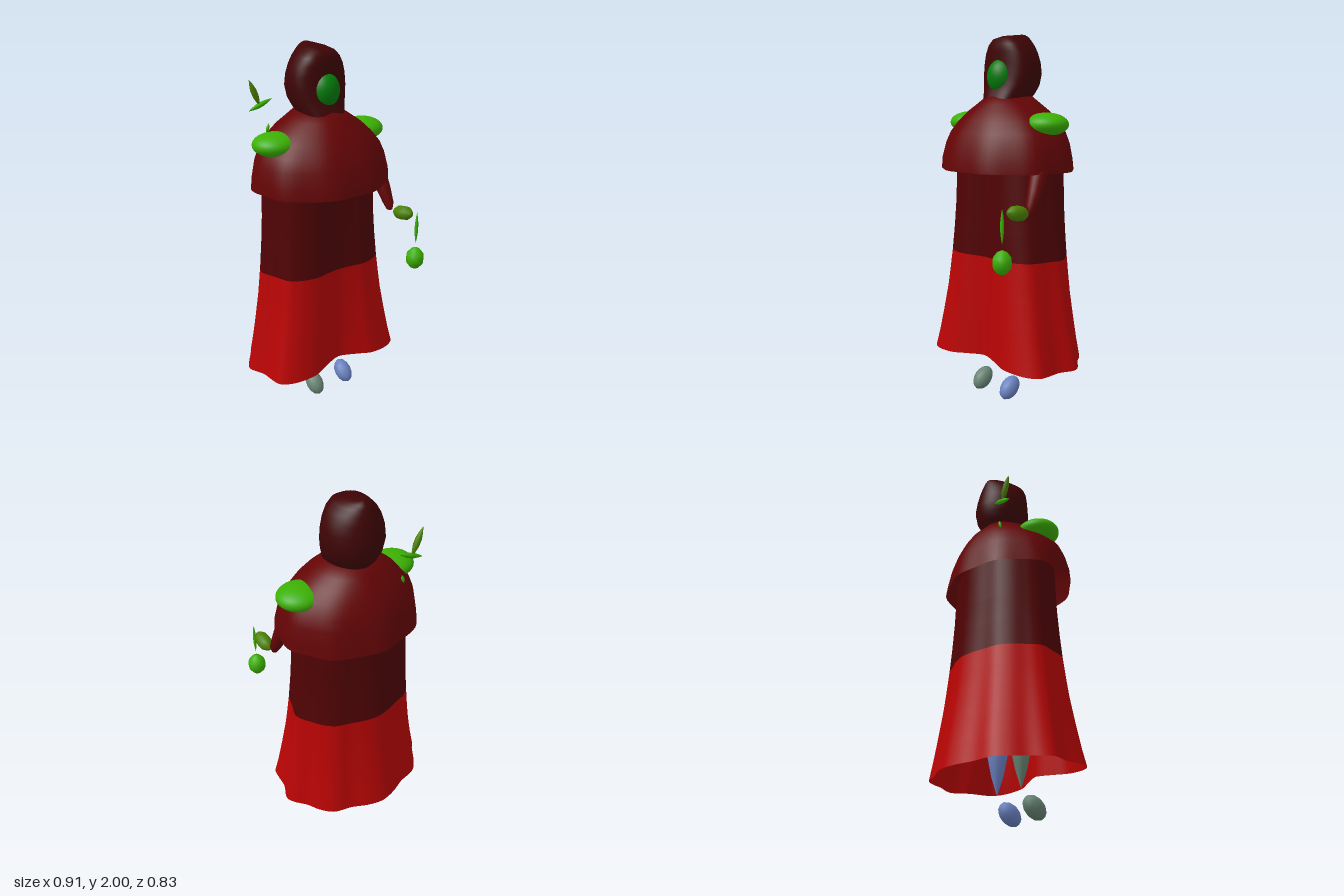
import * as THREE from 'three';

const mat = (name, color, side = THREE.FrontSide) => {
  const m = new THREE.MeshStandardMaterial({ color, side });
  m.name = name;
  return m;
};

// Smooth skin over a stack of closed rings, listed from bottom to top
function loft(rings, cap = false) {
  const n = rings[0].length, pos = rings.flat().flatMap(p => [p.x, p.y, p.z]), idx = [];
  for (let i = 0; i < rings.length - 1; i++) {
    for (let j = 0; j < n; j++) {
      const k = (j + 1) % n, a = i * n + j, b = i * n + k;
      idx.push(a, b, a + n, b, b + n, a + n);
    }
  }
  if (cap) {
    const top = rings[rings.length - 1], c = new THREE.Vector3();
    top.forEach(p => c.addScaledVector(p, 1 / n));
    pos.push(c.x, c.y, c.z);
    const base = (rings.length - 1) * n;
    for (let j = 0; j < n; j++) idx.push(base + j, base + (j + 1) % n, pos.length / 3 - 1);
  }
  const g = new THREE.BufferGeometry();
  g.setAttribute('position', new THREE.Float32BufferAttribute(pos, 3));
  g.setIndex(idx);
  g.computeVertexNormals();
  return g;
}

// Rounded cross-section: half width, front z, back z, share of depth in front, front squareness
function section(y, w, zf, zb, share = 0.5, square = 2, n = 64) {
  const zc = zf - share * (zf - zb);
  return Array.from({ length: n }, (_, j) => {
    const t = j / n * Math.PI * 2, s = Math.sin(t), c = Math.cos(t);
    const e = 2 / (c > 0 ? square : 2);
    const x = w * Math.sign(s) * Math.abs(s) ** e;
    const z = zc + (c > 0 ? zf - zc : zc - zb) * Math.sign(c) * Math.abs(c) ** e;
    return new THREE.Vector3(x, y, z);
  });
}

export function createModel() {
  const model = new THREE.Group();
  model.name = 'cloakedFigure';
  const brightRed = mat('bright red', 0xb90404, THREE.DoubleSide);
  const darkRed = mat('dark red', 0x500204, THREE.DoubleSide);
  const capeRed = mat('cape red', 0x640405, THREE.DoubleSide);
  const hoodRed = mat('hood maroon', 0x3e0405, THREE.DoubleSide);
  const green = mat('leaf green', 0x3cb004);
  const olive = mat('olive green', 0x4c8204);
  const faceGreen = mat('deep green', 0x047c0c);
  const blue = mat('slate blue', 0x6a82c0);
  const grey = mat('grey green', 0x688474);

  const add = (name, geo, material, x = 0, y = 0, z = 0) => {
    const m = new THREE.Mesh(geo, material);
    m.name = name;
    m.position.set(x, y, z);
    model.add(m);
    return m;
  };
  const ellipsoid = (rx, ry, rz) => new THREE.SphereGeometry(1, 32, 20).scale(rx, ry, rz);
  const lathe = (points, seg = 12) => new THREE.LatheGeometry(points.map(p => new THREE.Vector2(...p)), seg);
  // Pointed spindle standing on y, centred at its middle
  const spindle = (r, len, seg = 12) => lathe(
    [[0, -0.5], [0.55, -0.32], [0.95, -0.12], [0.95, 0.12], [0.55, 0.32], [0, 0.5]]
      .map(([a, b]) => [a * r, b * len]), seg);

  // Robe: wavy hem outline that shrinks and smooths towards the chest
  const half = [[0.12, 0.175], [0.2, 0.203], [0.33, 0.188], [0.4, 0.14], [0.413, 0.08], [0.42, 0],
    [0.455, -0.09], [0.435, -0.14], [0.385, -0.2], [0.345, -0.27], [0.285, -0.33], [0.18, -0.357], [0.09, -0.395]];
  const outline = [[0, 0.14], ...half, [0, -0.413], ...half.slice().reverse().map(([x, z]) => [-x, z])];
  const hem = new THREE.CatmullRomCurve3(outline.map(([x, z]) => new THREE.Vector3(x, 0, z)), true)
    .getPoints(112).slice(0, -1);
  const robeRing = (y, k) => hem.map(p => {
    const a = Math.atan2(p.x / 0.455, (p.z + 0.1) / 0.31);
    const top = new THREE.Vector3(
      THREE.MathUtils.lerp(0.33 * Math.sin(a), p.x * 0.725, 0.4), 0,
      -0.076 + THREE.MathUtils.lerp(0.228 * Math.cos(a), (p.z + 0.1) * 0.74, 0.4));
    const lift = k === 1 ? 0.012 * (1 - Math.abs(p.x) / 0.455) * (1 + 1.6 * Math.cos(a)) : 0;
    return top.lerp(p, k).setY(y + lift);
  });
  add('lowerRobe', loft([[0.22, 1], [0.32, 0.83], [0.45, 0.64], [0.6, 0.44], [0.7, 0.34], [0.81, 0.24]]
    .map(a => robeRing(...a))), brightRed);
  add('upperRobe', loft([[0.81, 0.24], [0.95, 0.14], [1.1, 0.06], [1.35, 0]]
    .map(a => robeRing(...a))), darkRed);

  // Shoulder cape, with soft folds that fade towards the neck
  const capeRing = (y, w, zf, zb) => section(y, w, zf, zb).map((p, j) => {
    const fold = 1 - 0.018 * Math.cos(9 * j / 64 * Math.PI * 2) * (1.67 - y) / 0.39;
    return new THREE.Vector3(p.x * fold, y, (p.z + 0.04) * fold - 0.04);
  });
  add('cape', loft([
    [1.28, 0.388, 0.29, -0.368], [1.34, 0.384, 0.284, -0.358], [1.42, 0.367, 0.262, -0.342],
    [1.48, 0.342, 0.236, -0.322], [1.54, 0.294, 0.198, -0.294], [1.59, 0.237, 0.157, -0.262],
    [1.63, 0.178, 0.115, -0.225], [1.67, 0.118, 0.075, -0.19],
  ].map(a => capeRing(...a)), true), capeRed);

  // Hood, with a flat front and a round back
  add('hood', loft([
    [1.655, 0.115, 0.082, -0.185], [1.69, 0.131, 0.066, -0.213], [1.73, 0.149, 0.05, -0.232],
    [1.79, 0.16, 0.04, -0.241], [1.85, 0.155, 0.036, -0.232], [1.9, 0.139, 0.037, -0.222],
    [1.94, 0.115, 0.036, -0.212], [1.97, 0.084, 0.026, -0.202], [1.988, 0.054, -0.03, -0.193], [2.0, 0.015, -0.14, -0.175],
  ].map(a => section(...a, 0.42, 2.6)), true), hoodRed);
  add('face', ellipsoid(0.082, 0.097, 0.08), faceGreen, 0, 1.773, 0);

  // Shoulder pads, legs and feet in pairs
  for (const s of [1, -1]) {
    const side = s > 0 ? 'left' : 'right', skin = s > 0 ? blue : grey;
    add(side + 'ShoulderPad', ellipsoid(0.12, 0.061, 0.113), green, s * 0.28, 1.527, -0.037);
    add(side + 'Leg', spindle(0.057, 0.56, 16), skin, s * 0.105, 0.425, -0.03);
    const foot = add(side + 'Foot', new THREE.SphereGeometry(1, 12, 8).scale(0.048, 0.051, 0.073), skin, s * 0.105, 0.064, 0.05);
    foot.rotation.x = 0.7;
  }

  // Left sleeve, tapering down and forwards from under the cape
  const sleeve = [[1.095, 0.338, 0.155, 0.018], [1.13, 0.338, 0.143, 0.033], [1.2, 0.332, 0.108, 0.044],
    [1.29, 0.322, 0.07, 0.05], [1.4, 0.3, 0.02, 0.05]];
  add('sleeve', loft(sleeve.map(([y, x, z, r]) =>
    section(y, r * 0.9, z + r * 0.9, z - r, 0.5, 2, 20).map(p => p.setX(p.x + x))), true), capeRed);

  // Hand holding a hanging lantern
  const hand = lathe([[0, -0.07], [0.02, -0.06], [0.036, -0.034], [0.039, 0], [0.036, 0.034], [0.02, 0.06], [0, 0.07]]);
  add('hand', hand, olive, 0.348, 1.102, 0.256).rotation.x = Math.PI / 2 - 0.17;
  add('lanternCord', spindle(0.01, 0.18, 8), green, 0.348, 1.05, 0.367);
  const lantern = lathe([[0, -0.064], [0.025, -0.053], [0.046, -0.026], [0.049, 0], [0.046, 0.026], [0.025, 0.053], [0, 0.064]]);
  add('lantern', lantern, green, 0.348, 0.872, 0.367);

  // Slender blades behind the right shoulder
  const blades = [
    ['upperBlade', 0.017, 0.16, olive, -0.266, 1.748, -0.247, 0.4],
    ['crossBlade', 0.014, 0.155, green, -0.233, 1.683, -0.247, -1.23],
    ['lowerBlade', 0.009, 0.055, green, -0.2, 1.555, -0.235, -0.3],
  ];
  for (const [name, r, len, m, x, y, z, tilt] of blades) {
    add(name, spindle(r, len, 10), m, x, y, z).rotation.z = tilt;
  }
  return model;
}
